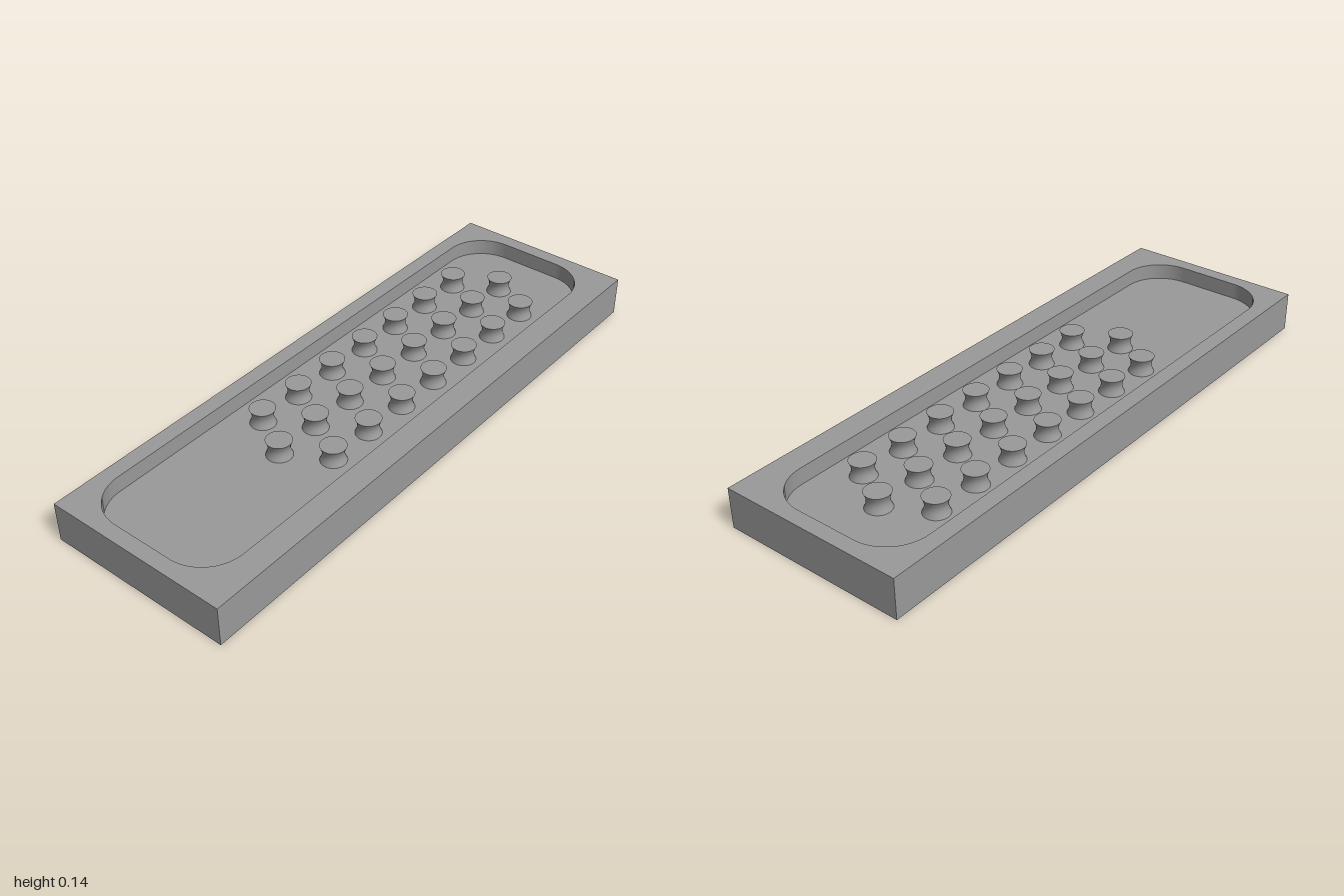
import * as THREE from 'three';

const W = 2, D = 0.63, H = 0.135, FLOOR = 0.08;

// Rectangle outline with optional rounded corners, traced on a Shape or Path
function tracePocket(p, x0, y0, x1, y1, r) {
  p.moveTo(x0 + r, y0);
  p.lineTo(x1 - r, y0);
  p.absarc(x1 - r, y0 + r, r, -Math.PI / 2, 0);
  p.lineTo(x1, y1 - r);
  p.absarc(x1 - r, y1 - r, r, 0, Math.PI / 2);
  p.lineTo(x0 + r, y1);
  p.absarc(x0 + r, y1 - r, r, Math.PI / 2, Math.PI);
  p.lineTo(x0, y0 + r);
  p.absarc(x0 + r, y0 + r, r, Math.PI, Math.PI * 1.5);
  return p;
}

export function createModel() {
  const group = new THREE.Group();
  const grey = new THREE.MeshStandardMaterial({ color: 0x999999 });
  grey.name = 'grey';

  const add = (name, geometry) => {
    const mesh = new THREE.Mesh(geometry, grey);
    mesh.name = name;
    group.add(mesh);
    return mesh;
  };

  // Solid slab below the pocket floor
  add('trayBase', new THREE.BoxGeometry(W, FLOOR, D)).position.y = FLOOR / 2;

  // Raised rim around the rounded pocket, which sits slightly toward the back
  const rim = new THREE.Shape([
    new THREE.Vector2(-W / 2, -D / 2), new THREE.Vector2(W / 2, -D / 2),
    new THREE.Vector2(W / 2, D / 2), new THREE.Vector2(-W / 2, D / 2),
  ]);
  rim.holes.push(tracePocket(new THREE.Path(), -0.95, -0.23, 0.95, 0.262, 0.14));
  const rimGeometry = new THREE.ExtrudeGeometry(rim, { depth: H - FLOOR, bevelEnabled: false, curveSegments: 16 });
  rimGeometry.rotateX(-Math.PI / 2);
  add('trayRim', rimGeometry).position.y = FLOOR;

  // Waisted peg: wide at the foot and the top, narrow in the middle
  const profile = [];
  for (let i = 0; i <= 10; i++) {
    const t = i / 10;
    profile.push(new THREE.Vector2(0.042 - 0.008 * Math.sin(Math.PI * t), t * (H - FLOOR)));
  }
  const pegGeometry = new THREE.LatheGeometry(profile, 32);
  const capGeometry = new THREE.CircleGeometry(0.042, 32).rotateX(-Math.PI / 2);

  // Three staggered rows of pegs
  const rows = [
    { z: -0.158, x: -0.316, count: 7 },
    { z: -0.017, x: -0.398, count: 8 },
    { z: 0.124, x: -0.316, count: 7 },
  ];
  for (const row of rows) {
    for (let i = 0; i < row.count; i++) {
      const x = row.x + i * 0.1645;
      add('peg', pegGeometry).position.set(x, FLOOR, row.z);
      add('pegTop', capGeometry).position.set(x, H, row.z);
    }
  }
  return group;
}
